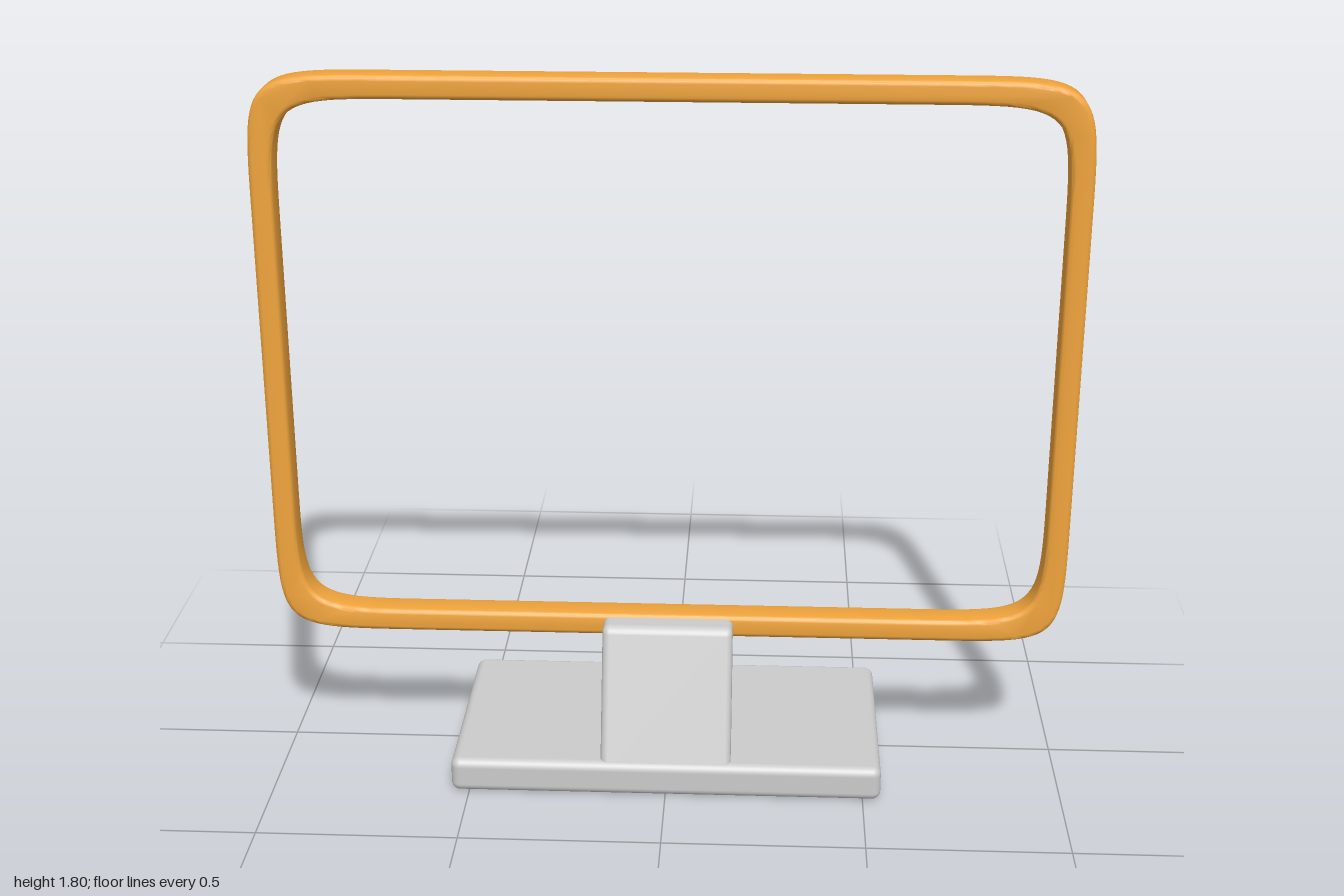
import * as THREE from 'three';
import { toCreasedNormals } from 'three/addons/utils/BufferGeometryUtils.js';
import { RoundedBoxGeometry } from 'three/addons/geometries/RoundedBoxGeometry.js';

// Rectangle whose corners sweep in gradually: each bezier pulls toward the corner point
function softRect(path, w, h, r) {
  const x = w / 2, y = h / 2;
  path.moveTo(x, -y + r);
  path.lineTo(x, y - r);
  path.bezierCurveTo(x, y, x, y, x - r, y);
  path.lineTo(-x + r, y);
  path.bezierCurveTo(-x, y, -x, y, -x, y - r);
  path.lineTo(-x, -y + r);
  path.bezierCurveTo(-x, -y, -x, -y, -x + r, -y);
  path.lineTo(x - r, -y);
  path.bezierCurveTo(x, -y, x, -y, x, -y + r);
  return path;
}

export function createModel() {
  const group = new THREE.Group();
  const grey = new THREE.MeshStandardMaterial({ color: 0xcccccc });
  const orange = new THREE.MeshStandardMaterial({ color: 0xf0a43c });

  const add = (name, geometry, material, x, y, z) => {
    const mesh = new THREE.Mesh(geometry, material);
    mesh.name = name;
    mesh.position.set(x, y, z);
    group.add(mesh);
  };

  // Open screen frame with softened edges
  const depth = 0.08, bevel = 0.012;
  const outline = softRect(new THREE.Shape(), 2, 1.44, 0.32);
  outline.holes.push(softRect(new THREE.Path(), 1.89, 1.325, 0.32));
  const frame = new THREE.ExtrudeGeometry(outline, {
    depth: depth - 2 * bevel, curveSegments: 24,
    bevelSize: bevel, bevelThickness: bevel, bevelOffset: -bevel, bevelSegments: 3,
  });
  add('screenFrame', toCreasedNormals(frame, 0.7), orange, 0, 1.08, 0.018 + bevel);

  // Neck: upright rounded slab sheared backwards
  const neck = new RoundedBoxGeometry(0.33, 0.36, 0.08, 4, 0.018);
  neck.applyMatrix4(new THREE.Matrix4().set(
    1, 0, 0, 0,
    0, 1, 0, 0,
    0, -0.37, 1, 0,
    0, 0, 0, 1));
  add('neck', neck, grey, 0, 0.23, 0.18);

  // Flat base plate
  add('base', new RoundedBoxGeometry(1.09, 0.09, 0.57, 4, 0.022), grey, 0, 0.045, 0);

  return group;
}
